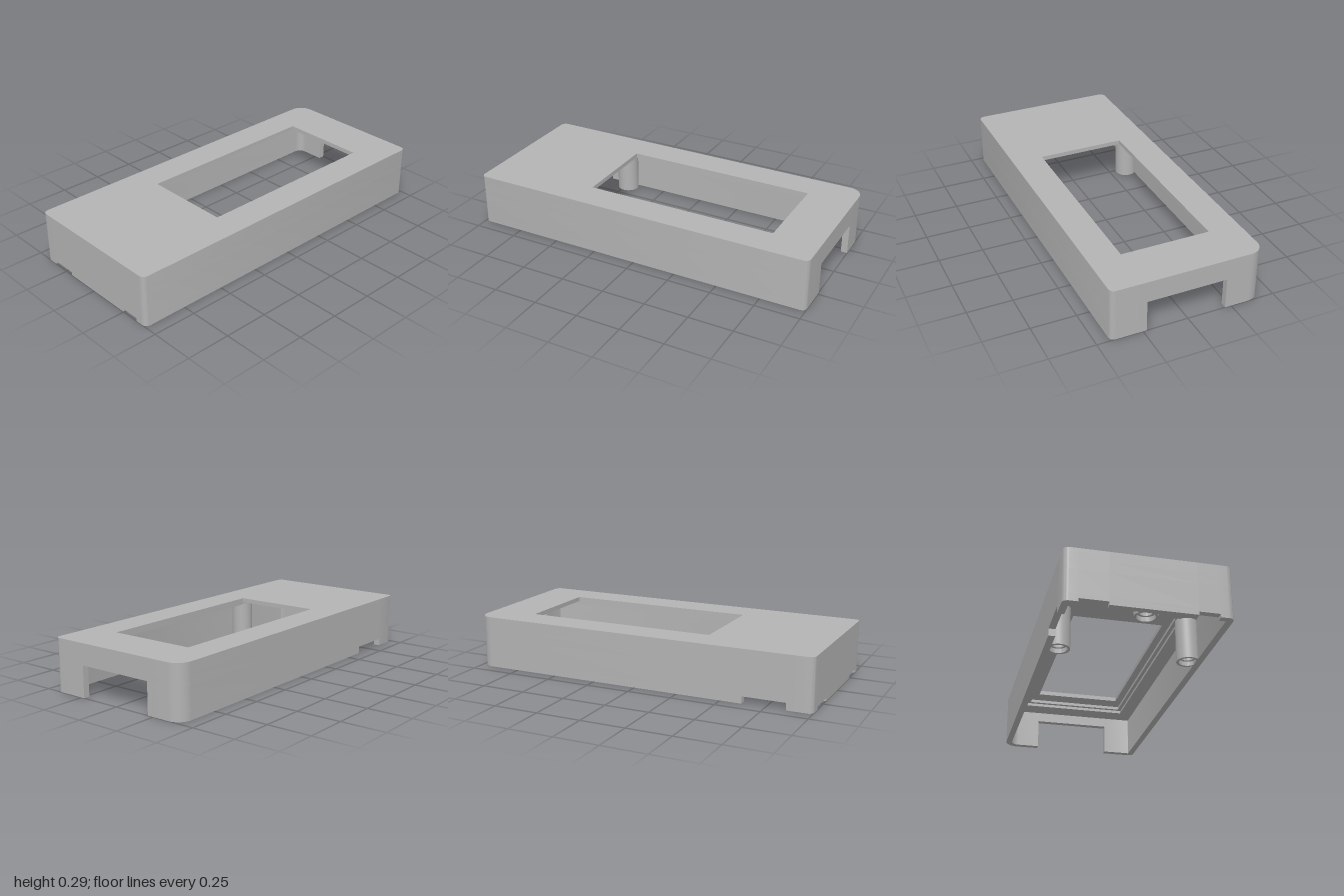
import * as THREE from 'three';
import { toCreasedNormals } from 'three/addons/utils/BufferGeometryUtils.js';

const HX = 0.427, HZ = 1, WALL = 0.036;

// Plan-view stations round the shell: each pairs an outer and an inner point (x, z)
const outer = [], inner = [], mark = {};
function station(name, ox, oz, ix, iz) {
  mark[name] = outer.length;
  outer.push([ox, oz]);
  inner.push([ix, iz]);
}
function corner(sx, sz, r, startAngle) {
  const steps = 10, ri = Math.max(r - WALL, 0.002);
  const ci = Math.max(r, WALL + ri);
  for (let i = 0; i <= steps; i++) {
    const a = startAngle - (i / steps) * Math.PI / 2;
    const c = Math.cos(a), s = Math.sin(a);
    outer.push([sx * (HX - r) + r * c, sz * (HZ - r) + r * s]);
    inner.push([sx * (HX - ci) + ri * c, sz * (HZ - ci) + ri * s]);
  }
}
const onSide = (name, z) => station(name, -HX, z, -HX + WALL, z);
const onFront = (name, x) => station(name, x, HZ, x, HZ - WALL);
const onBack = (name, x) => station(name, x, -HZ, x, -HZ + WALL);

onBack('start', -0.215);
corner(-1, -1, 0.08, Math.PI * 1.5);
onSide('side1', 0.62);
onSide('side2', 0.86);
corner(-1, 1, 0.03, Math.PI);
onFront('front1', -0.35);
onFront('front2', -0.2);
onFront('front3', 0.245);
onFront('front4', 0.355);
corner(1, 1, 0.03, Math.PI / 2);
corner(1, -1, 0.03, 0);
onBack('end', 0.23);

const toPlan = (pts) => pts.map(([x, z]) => new THREE.Vector2(x, -z));

export function createModel() {
  const model = new THREE.Group();
  model.name = 'enclosureCover';
  const grey = new THREE.MeshStandardMaterial({ color: 0xb3b3b3 });
  grey.name = 'plain grey';

  function add(name, geometry, parent = model) {
    const mesh = new THREE.Mesh(toCreasedNormals(geometry, 0.5), grey);
    mesh.name = name;
    parent.add(mesh);
    return mesh;
  }
  function layer(name, shape, y0, y1, parent) {
    const g = new THREE.ExtrudeGeometry(shape, { depth: y1 - y0, bevelEnabled: false });
    g.rotateX(-Math.PI / 2);
    g.translate(0, y0, 0);
    return add(name, g, parent);
  }

  // Lower walls: open at the back, with cable notches along the bottom edge
  const walls = new THREE.Group();
  walls.name = 'walls';
  model.add(walls);
  function wall(name, from, to, y0, y1) {
    const a = mark[from], b = mark[to] + 1;
    const pts = [...outer.slice(a, b), ...inner.slice(a, b).reverse()];
    layer(name, new THREE.Shape(toPlan(pts)), y0, y1, walls);
  }
  wall('bottomEdgeRight', 'start', 'side1', 0, 0.018);
  wall('bottomEdgeFrontRight', 'side2', 'front1', 0, 0.018);
  wall('bottomEdgeFront', 'front2', 'front3', 0, 0.018);
  wall('bottomEdgeLeft', 'front4', 'end', 0, 0.018);
  wall('lowerWallRight', 'start', 'side1', 0.018, 0.04);
  wall('lowerWallLeft', 'side2', 'end', 0.018, 0.04);
  wall('middleWall', 'start', 'end', 0.04, 0.175);

  // Closed wall above the back opening
  const ring = new THREE.Shape(toPlan(outer));
  ring.holes.push(new THREE.Path(toPlan(inner)));
  layer('upperWall', ring, 0.175, 0.233, walls);

  // Top plate with the window and a stepped recess around it underneath
  function plate(name, hx, z0, z1, y0, y1) {
    const shape = new THREE.Shape(toPlan(outer));
    shape.holes.push(new THREE.Path(toPlan([[-hx, z0], [hx, z0], [hx, z1], [-hx, z1]])));
    layer(name, shape, y0, y1);
  }
  plate('recessStepLower', 0.31, -0.85, 0.52, 0.233, 0.25);
  plate('recessStepUpper', 0.29, -0.83, 0.485, 0.25, 0.268);
  plate('topPlate', 0.25, -0.735, 0.36, 0.268, 0.293);

  // Hollow screw posts hanging from the top plate
  const profile = [
    [0, 0.15], [0.035, 0.15], [0.035, 0.025], [0.048, 0.025],
    [0.048, 0], [0.062, 0], [0.062, 0.24],
  ].map(([r, y]) => new THREE.Vector2(r, y));
  for (const [name, x, z] of [
    ['postLeft', 0.35, 0.48], ['postRight', -0.35, 0.48], ['postFront', 0, 0.92],
  ]) {
    add(name, new THREE.LatheGeometry(profile, 32)).position.set(x, 0, z);
  }
  return model;
}
